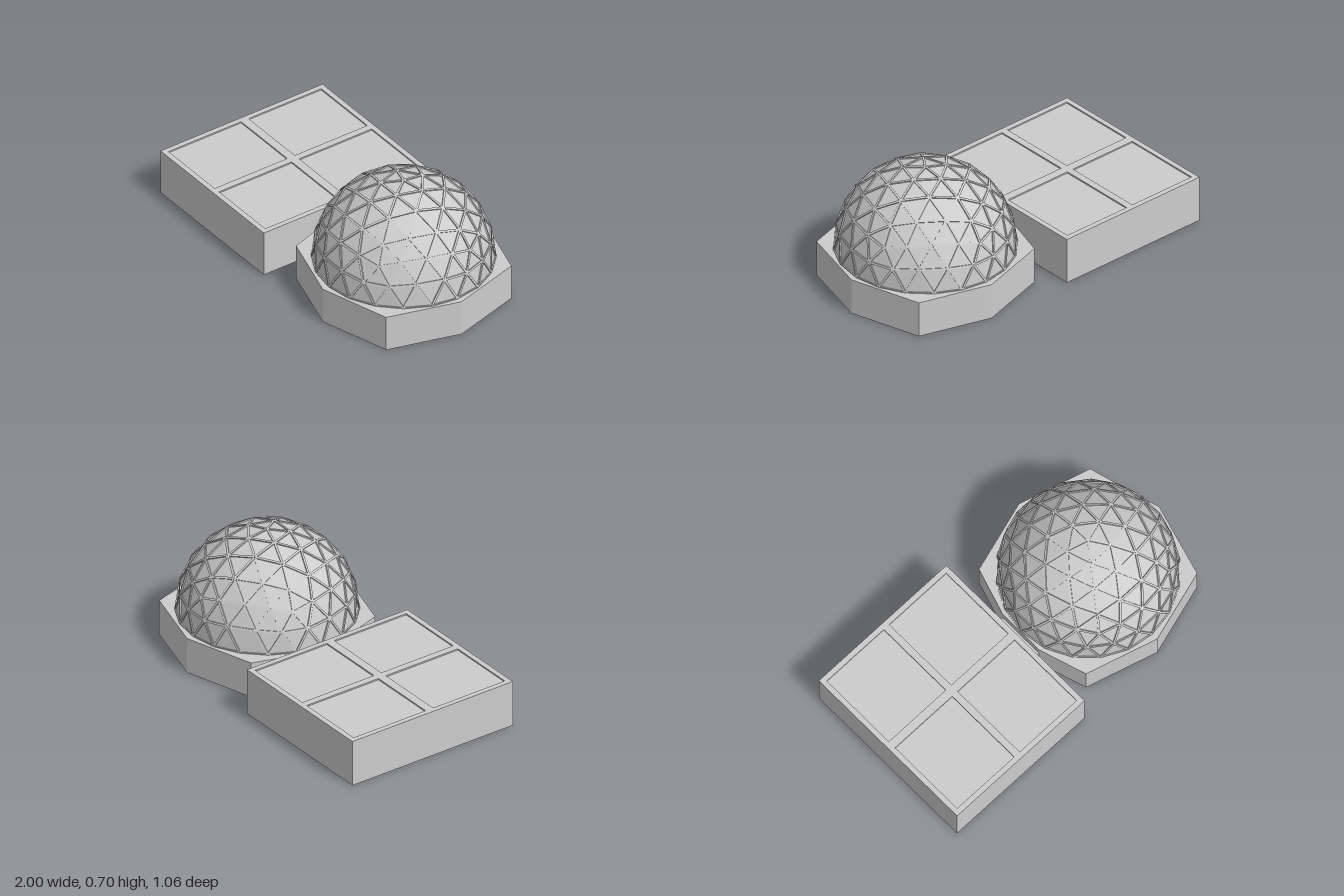
import * as THREE from 'three';

const grey = new THREE.MeshStandardMaterial({ color: 0xcccccc, flatShading: true });

function add(parent, name, geometry, x = 0, y = 0, z = 0) {
  const mesh = new THREE.Mesh(geometry, grey);
  mesh.name = name;
  mesh.position.set(x, y, z);
  parent.add(mesh);
  return mesh;
}

// Upright prism from a plan outline given as [x, z] points
function prism(points, height, holes = []) {
  const toVec = ([x, z]) => new THREE.Vector2(x, -z);
  const shape = new THREE.Shape(points.map(toVec));
  shape.holes = holes.map((h) => new THREE.Path(h.map(toVec)));
  return new THREE.ExtrudeGeometry(shape, { depth: height, bevelEnabled: false }).rotateX(-Math.PI / 2);
}

const rect = (cx, cz, w, d) => [
  [cx - w / 2, cz + d / 2], [cx + w / 2, cz + d / 2], [cx + w / 2, cz - d / 2], [cx - w / 2, cz - d / 2],
];

// Upper half of a frequency-4 icosphere with one corner at the pole
function domeTriangles(radius) {
  const geo = new THREE.IcosahedronGeometry(radius, 3);
  geo.rotateX(-Math.atan((1 + Math.sqrt(5)) / 2)).rotateY(Math.PI);
  const pos = geo.attributes.position;
  const triangles = [];
  for (let i = 0; i < pos.count; i += 3) {
    const tri = [0, 1, 2].map((k) => new THREE.Vector3().fromBufferAttribute(pos, i + k));
    if (tri.every((p) => p.y > -0.005)) triangles.push(tri);
  }
  return triangles;
}

function createDome() {
  const dome = new THREE.Group();
  dome.name = 'dome';
  const triangles = domeTriangles(0.487);

  // Flat glazing panels
  const panels = new THREE.BufferGeometry().setFromPoints(triangles.flat());
  panels.computeVertexNormals();
  add(dome, 'domePanels', panels);

  // One strut along each shared edge, its flat face turned outward
  const struts = new THREE.Group();
  struts.name = 'domeStruts';
  dome.add(struts);
  const seen = new Set();
  const key = (p) => p.toArray().map((v) => Math.round(v * 1000)).join();
  for (const tri of triangles) {
    for (let k = 0; k < 3; k++) {
      const a = tri[k], b = tri[(k + 1) % 3];
      const id = [key(a), key(b)].sort().join('|');
      if (seen.has(id)) continue;
      seen.add(id);
      const middle = a.clone().add(b).multiplyScalar(0.5);
      const along = b.clone().sub(a).normalize();
      const out = middle.clone().normalize();
      const side = along.clone().cross(out);
      const strut = add(struts, 'strut', new THREE.BoxGeometry(a.distanceTo(b), 0.012, 0.012));
      strut.quaternion.setFromRotationMatrix(new THREE.Matrix4().makeBasis(along, out, side));
      strut.position.copy(middle);
    }
  }
  return dome;
}

export function createModel() {
  const model = new THREE.Group();
  model.name = 'domeBuilding';

  // Flat-roofed hall: body, then a roof frame around four sunken panels
  const hall = new THREE.Group();
  hall.name = 'hall';
  model.add(hall);
  const outline = rect(-0.53, 0, 0.94, 1.06);
  const holes = [];
  for (const sx of [-1, 1]) for (const sz of [-1, 1]) holes.push(rect(-0.53 + sx * 0.23, sz * 0.262, 0.42, 0.475));
  add(hall, 'hallBody', prism(outline, 0.262));
  add(hall, 'roofFrame', prism(outline, 0.008, holes), 0, 0.262, 0);

  // Low link between the hall and the dome
  add(model, 'passage', new THREE.BoxGeometry(0.04, 0.155, 0.28), -0.04, 0.0775, 0);

  // Faceted plinth, with one corner cut flat to meet the passage
  const plinth = [
    [-0.02, 0.14], [0.065, 0.41], [0.475, 0.53], [0.885, 0.41], [1, 0],
    [0.885, -0.41], [0.475, -0.53], [0.065, -0.41], [-0.02, -0.14],
  ];
  add(model, 'plinth', prism(plinth, 0.21));

  const dome = createDome();
  dome.position.set(0.475, 0.21, 0);
  model.add(dome);
  return model;
}
